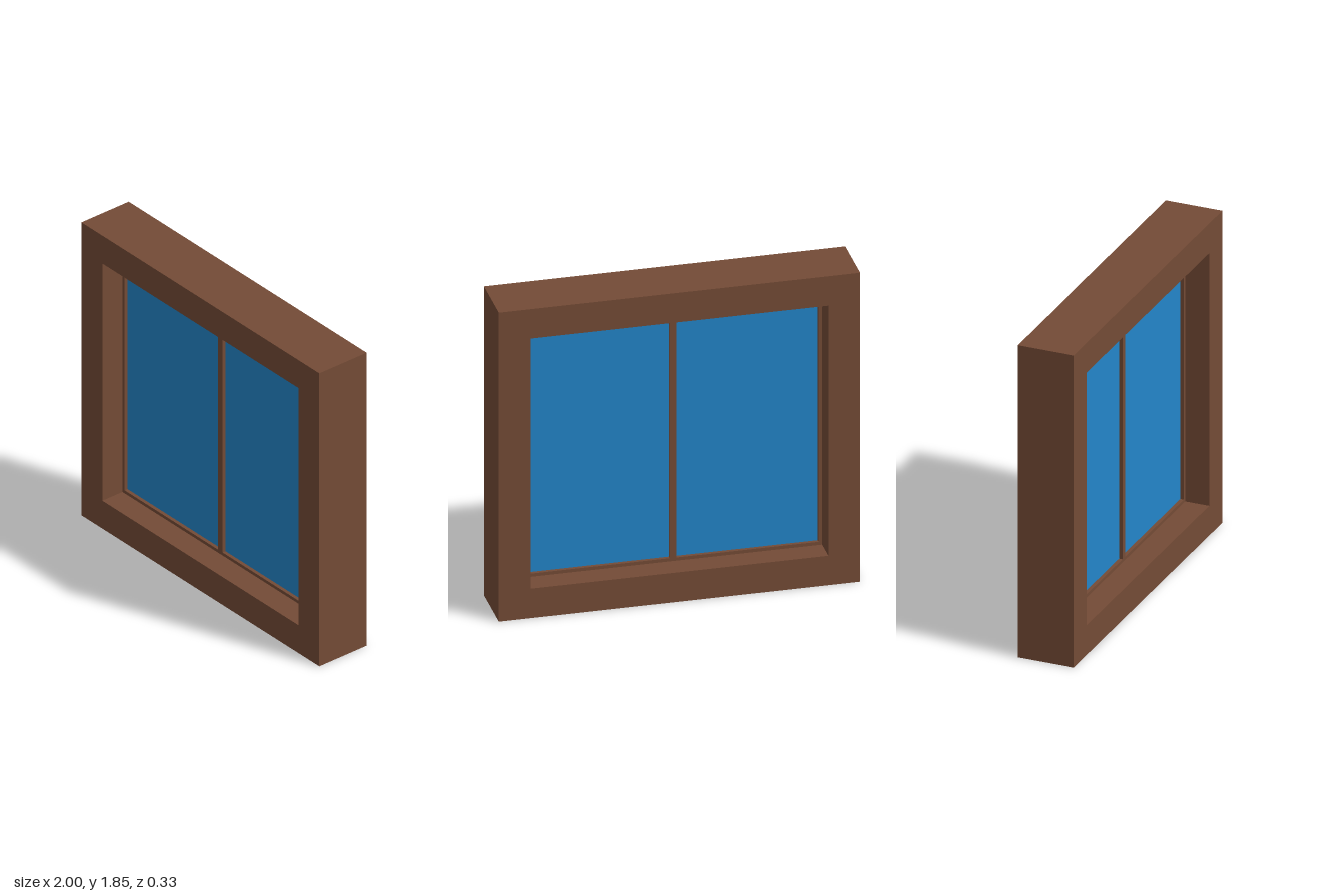
import * as THREE from 'three';

const W = 2, H = 1.85, BORDER = 0.176, LIP = 0.019;

// Rectangular ring, inset from the outer edge, centred on z = 0
function ring(name, inset, width, depth, material) {
  const rect = (path, d) => {
    const x = W / 2 - d;
    path.moveTo(-x, d);
    path.lineTo(x, d);
    path.lineTo(x, H - d);
    path.lineTo(-x, H - d);
    path.closePath();
    return path;
  };
  const shape = rect(new THREE.Shape(), inset);
  shape.holes.push(rect(new THREE.Path(), inset + width));
  const geometry = new THREE.ExtrudeGeometry(shape, { depth, bevelEnabled: false });
  geometry.translate(0, 0, -depth / 2);
  const mesh = new THREE.Mesh(geometry, material);
  mesh.name = name;
  return mesh;
}

function box(name, w, h, d, x, material) {
  const mesh = new THREE.Mesh(new THREE.BoxGeometry(w, h, d), material);
  mesh.name = name;
  mesh.position.set(x, H / 2, 0);
  return mesh;
}

export function createModel() {
  const wood = new THREE.MeshStandardMaterial({ name: 'brown wood', color: 0x744b36 });
  const blue = new THREE.MeshStandardMaterial({ name: 'blue glass', color: 0x2385c9 });
  const group = new THREE.Group();
  group.name = 'window';

  // Deep outer frame and the thin sash set in the middle of its depth
  group.add(ring('outerFrame', 0, BORDER, 0.33, wood));
  group.add(ring('sash', BORDER, LIP, 0.05, wood));

  // Central upright bar
  const inner = BORDER + LIP, bar = 0.038;
  group.add(box('mullion', bar, H - 2 * inner, 0.05, 0, wood));

  // One pane on each side of the bar
  const paneWidth = W / 2 - inner - bar / 2;
  for (const [name, side] of [['leftPane', 1], ['rightPane', -1]]) {
    group.add(box(name, paneWidth, H - 2 * inner, 0.009, side * (bar + paneWidth) / 2, blue));
  }
  return group;
}
